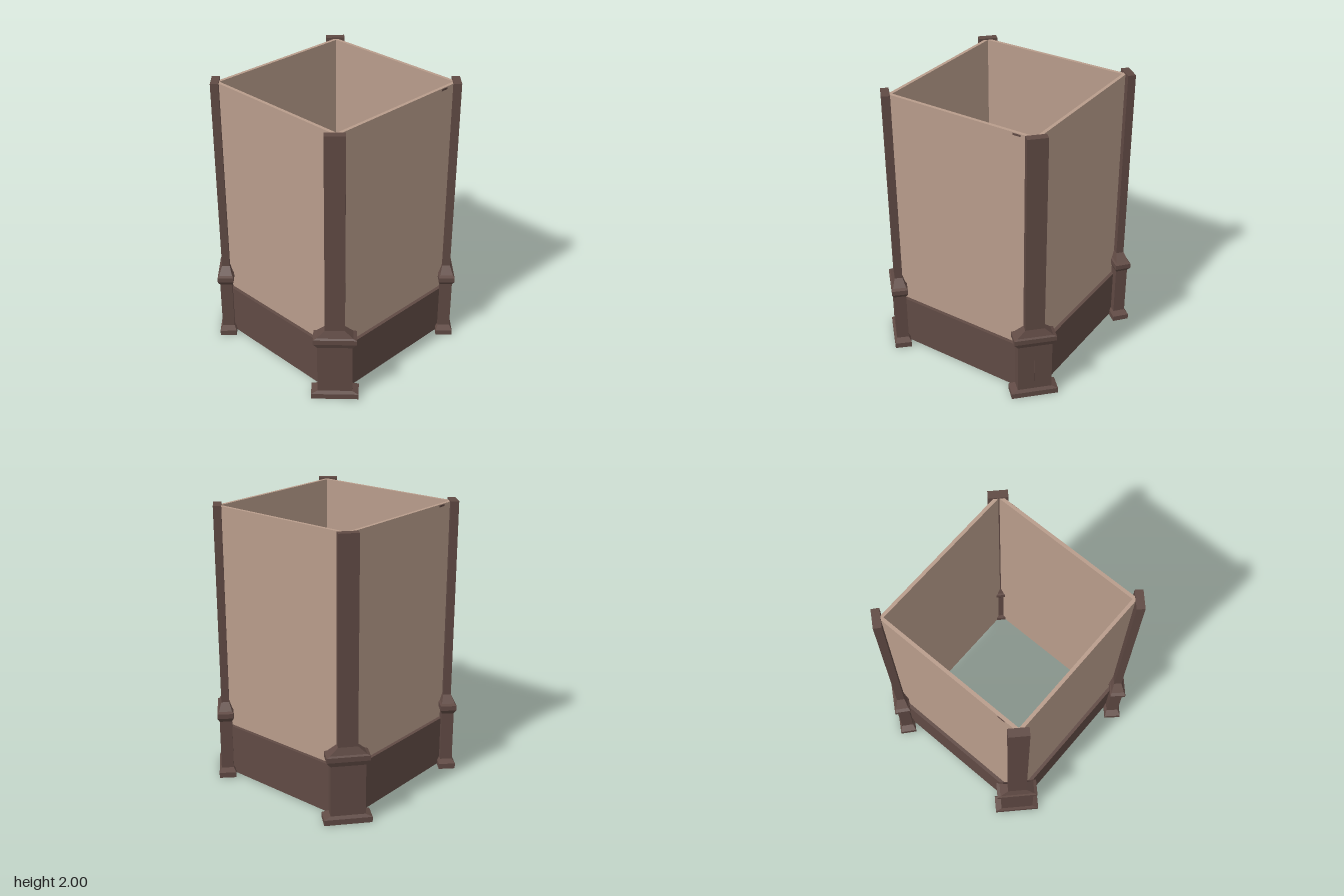
import * as THREE from 'three';

const darkWood = new THREE.MeshStandardMaterial({ color: 0x604a44 });
const paleWood = new THREE.MeshStandardMaterial({ color: 0xb89c8b });
darkWood.name = 'darkWood';
paleWood.name = 'paleWood';

// Pillar levels from bottom to top: [height, width, depth]
const LEVELS = [
  [0, 0.33, 0.12], [0.04, 0.33, 0.12], [0.06, 0.24, 0.088], [0.43, 0.24, 0.088],
  [0.465, 0.295, 0.115], [0.5, 0.295, 0.115], [0.51, 0.25, 0.095],
  [0.56, 0.135, 0.056], [2, 0.135, 0.056],
];

// Joins rectangular cross-sections into one closed, flat-faced solid
function stackGeometry(levels) {
  const pos = [];
  const rings = levels.map(([y, w, d]) =>
    [[-1, 1], [1, 1], [1, -1], [-1, -1]].map(([sx, sz]) => [sx * w / 2, y, sz * d / 2]));
  const quad = (a, b, c, d) => pos.push(...a, ...b, ...c, ...a, ...c, ...d);
  for (let i = 0; i < rings.length - 1; i++) {
    for (let k = 0; k < 4; k++) {
      const n = (k + 1) % 4;
      quad(rings[i][k], rings[i][n], rings[i + 1][n], rings[i + 1][k]);
    }
  }
  const [p, q, r, s] = rings[0];
  quad(s, r, q, p);
  quad(...rings[rings.length - 1]);
  const geo = new THREE.BufferGeometry();
  geo.setAttribute('position', new THREE.Float32BufferAttribute(pos, 3));
  geo.computeVertexNormals();
  return geo;
}

// Box given by its lower and upper corners
function slab(name, mat, min, max) {
  const size = max.map((v, i) => v - min[i]);
  const mesh = new THREE.Mesh(new THREE.BoxGeometry(...size), mat);
  mesh.position.set(...max.map((v, i) => (v + min[i]) / 2));
  mesh.name = name;
  return mesh;
}

export function createModel() {
  const model = new THREE.Group();
  model.name = 'cornerPostBin';

  // Four corner pillars, turned outward: [name, x, z, yaw in degrees]
  const pillar = stackGeometry(LEVELS);
  for (const [name, x, z, yaw] of [
    ['frontLeftPillar', 0.573, 0.567, 45.5],
    ['frontRightPillar', -0.593, 0.577, -46.5],
    ['backLeftPillar', 0.581, -0.59, 139.5],
    ['backRightPillar', -0.572, -0.577, -134.5],
  ]) {
    const mesh = new THREE.Mesh(pillar, darkWood);
    mesh.name = name;
    mesh.position.set(x, 0, z);
    mesh.rotation.y = THREE.MathUtils.degToRad(yaw);
    model.add(mesh);
  }

  // Four walls: a tall pale panel with a dark skirt along its foot
  ['front', 'left', 'back', 'right'].forEach((side, i) => {
    const wall = new THREE.Group();
    wall.name = side + 'Wall';
    wall.rotation.y = i * Math.PI / 2;
    wall.add(slab('panel', paleWood, [-0.576, 0.005, 0.553], [0.553, 1.99, 0.577]));
    wall.add(slab('skirt', darkWood, [-0.602, 0.01, 0.577], [0.577, 0.375, 0.602]));
    // Small dark chip near the top of the front and back panels
    if (i % 2 === 0) {
      wall.add(slab('chip', darkWood, [0.405, 1.972, 0.577], [0.46, 1.985, 0.58]));
    }
    model.add(wall);
  });

  return model;
}
